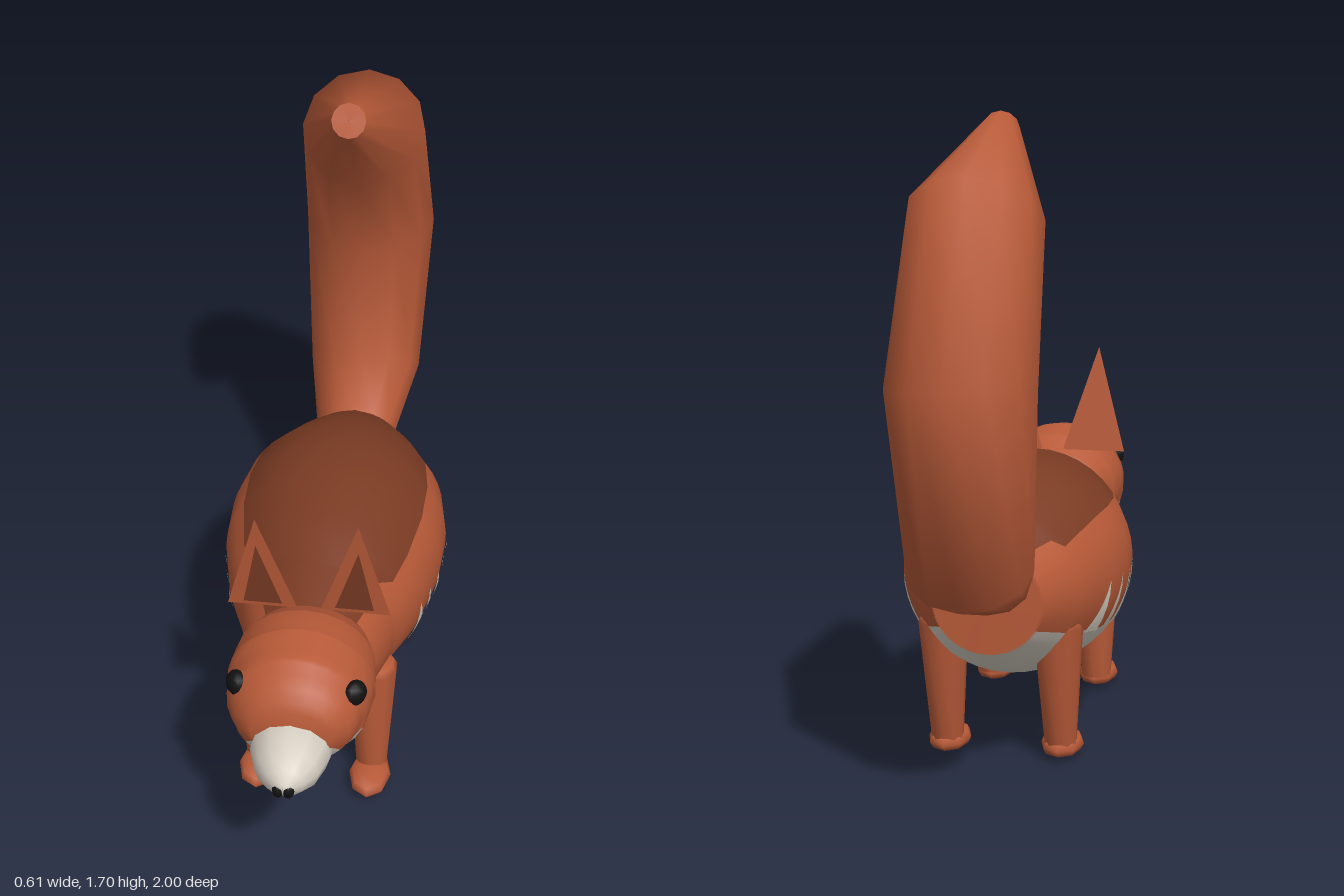
import * as THREE from 'three';
import { mergeVertices } from 'three/addons/utils/BufferGeometryUtils.js';

const mat = (name, color, side = THREE.FrontSide) => {
  const m = new THREE.MeshStandardMaterial({ color, side });
  m.name = name;
  return m;
};

// Piecewise linear lookup in rows [key, ...values] with falling or rising keys
function lookup(rows, s) {
  const up = rows[rows.length - 1][0] > rows[0][0] ? 1 : -1;
  let i = 0;
  while (i < rows.length - 2 && (s - rows[i + 1][0]) * up > 0) i++;
  const a = rows[i], b = rows[i + 1];
  const f = THREE.MathUtils.clamp((s - a[0]) / (b[0] - a[0]), 0, 1);
  return a.slice(1).map((v, k) => v + (b[k + 1] - v) * f);
}

// Strip of a lofted skin. Sections: [key, zTop, yTop, zBottom, yBottom, halfWidth].
// Angles are degrees from the top towards +x.
function skin(sections, keys, from, to, n) {
  const pos = [], idx = [];
  keys.forEach((s, i) => {
    const [zt, yt, zb, yb, hx] = lookup(sections, s);
    for (let j = 0; j <= n; j++) {
      const t = THREE.MathUtils.degToRad(from(s) + (to(s) - from(s)) * j / n);
      const c = Math.cos(t);
      pos.push(hx * Math.sin(t), (yt + yb) / 2 + (yt - yb) / 2 * c, (zt + zb) / 2 + (zt - zb) / 2 * c);
      if (i && j) {
        const d = i * (n + 1) + j, b = d - n - 1;
        idx.push(b - 1, b, d - 1, b, d, d - 1);
      }
    }
  });
  let g = new THREE.BufferGeometry();
  g.setAttribute('position', new THREE.Float32BufferAttribute(pos, 3));
  g.setIndex(idx);
  g = mergeVertices(g, 1e-4);
  g.computeVertexNormals();
  return g;
}

// Upright sections from rows [z, top, bottom, halfWidth], optionally grown outwards
const upright = (rows, grow = 0) =>
  rows.map(([z, top, bottom, hx]) => [z, z, top + grow, z, bottom - grow, hx + grow]);
const keysOf = (...tables) => [...new Set(tables.flat().map(r => r[0]))].sort((a, b) => b - a);
const flat = a => () => a;

export function createModel() {
  const model = new THREE.Group();
  const orange = mat('russet fur', 0xb85a38);
  const orangeThin = mat('russet ear fur', 0xb85a38, THREE.DoubleSide);
  const brown = mat('dark brown fur', 0x7a3b23);
  const cream = mat('pale fur', 0xd8d0c4);
  const black = mat('black', 0x111111);
  const add = (name, geometry, material, parent = model) => {
    const m = new THREE.Mesh(geometry, material);
    m.name = name;
    parent.add(m);
    return m;
  };

  // Body with dark back, russet flanks and pale belly
  const rows = [
    [0.49, 0.645, 0.315, 0.172], [0.44, 0.66, 0.285, 0.185], [0.35, 0.685, 0.25, 0.205],
    [0.2, 0.735, 0.21, 0.265], [0.05, 0.757, 0.195, 0.298], [-0.08, 0.764, 0.19, 0.303],
    [-0.2, 0.752, 0.205, 0.283], [-0.35, 0.68, 0.26, 0.217], [-0.49, 0.6, 0.34, 0.14]];
  const body = upright(rows);
  const backEdge = [[0.49, 42], [0.36, 50], [0.345, 42], [0.29, 57], [0, 55], [-0.35, 54], [-0.37, 44], [-0.49, 28]];
  const bodyKeys = keysOf(body, backEdge);
  const back = s => lookup(backEdge, s)[0];
  add('back', skin(body, bodyKeys, s => -back(s), back, 12), brown);
  add('leftFlank', skin(body, bodyKeys, back, flat(120), 8), orange);
  add('rightFlank', skin(body, bodyKeys, flat(-120), s => -back(s), 8), orange);
  add('belly', skin(body, bodyKeys, flat(120), flat(240), 14), cream);

  // Saw-toothed edge of the belly, laid thinly over the flanks
  const overlay = upright(rows, 0.004);
  for (const z of [0.215, 0.145, 0.075, 0.005, -0.065, -0.135, -0.22]) {
    const edge = s => 90 + 30 * (z - s) / 0.06;
    const keys = [0, 1, 2, 3, 4, 5].map(k => z - 0.012 * k);
    add('leftBellyTooth', skin(overlay, keys, edge, flat(121), 4), cream);
    add('rightBellyTooth', skin(overlay, keys, flat(-121), s => -edge(s), 4), cream);
  }

  // Closed ends of the body
  const chest = upright([[0.491, 0.481, 0.479, 0.001], [0.489, 0.646, 0.314, 0.173]]);
  add('chest', skin(chest, [0.491, 0.489], flat(-148), flat(148), 30), orange);
  add('lowerChest', skin(chest, [0.491, 0.489], flat(148), flat(212), 8), cream);
  const rump = upright([[-0.488, 0.603, 0.337, 0.143], [-0.491, 0.471, 0.469, 0.001]]);
  add('rump', skin(rump, [-0.488, -0.491], flat(0), flat(360), 36), orange);

  // Head with toothed pale chin
  const head = upright([
    [0.865, 0.546, 0.544, 0.001], [0.855, 0.615, 0.475, 0.1], [0.82, 0.665, 0.425, 0.145],
    [0.75, 0.705, 0.385, 0.178], [0.66, 0.72, 0.368, 0.19], [0.57, 0.708, 0.382, 0.18],
    [0.49, 0.66, 0.43, 0.15], [0.45, 0.546, 0.544, 0.001]]);
  const chinEdge = [[0.865, 120], [0.84, 120], [0.79, 130], [0.76, 106], [0.725, 118], [0.69, 130],
    [0.655, 107], [0.61, 117], [0.56, 127], [0.53, 106], [0.5, 120], [0.45, 120]];
  const headKeys = keysOf(head, chinEdge);
  const chin = s => lookup(chinEdge, s)[0];
  add('head', skin(head, headKeys, s => -chin(s), chin, 16), orange);
  add('chin', skin(head, headKeys, chin, s => 360 - chin(s), 10), cream);

  // Muzzle
  const muzzle = upright([
    [0.993, 0.491, 0.489, 0.001], [0.992, 0.505, 0.475, 0.016], [0.97, 0.535, 0.448, 0.05],
    [0.93, 0.562, 0.42, 0.08], [0.86, 0.58, 0.402, 0.102], [0.79, 0.57, 0.405, 0.1], [0.72, 0.5, 0.48, 0.04]]);
  add('muzzle', skin(muzzle, keysOf(muzzle), flat(0), flat(360), 12), cream);

  // Tail: rings leaning along an S-curve, closed at the tip
  const tail = [
    [0, -0.46, 0.62, -0.47, 0.435, 0.11], [1, -0.59, 0.71, -0.84, 0.54, 0.16],
    [2, -0.63, 1.05, -1.0, 1.09, 0.185], [3, -0.5, 1.34, -0.75, 1.57, 0.17],
    [4, -0.26, 1.61, -0.3, 1.695, 0.046], [5, -0.279, 1.653, -0.281, 1.653, 0.001]];
  add('tail', skin(tail, [0, 1, 2, 3, 4], flat(0), flat(360), 12), orange);
  add('tailTip', skin(tail, [4, 5], flat(0), flat(360), 12), orange);

  // Triangular plate leaning slightly forward from the top of the head
  const earPlate = (name, pts, material, z) => {
    const ear = add(name, new THREE.ShapeGeometry(new THREE.Shape(pts.map(p => new THREE.Vector2(...p)))), material);
    ear.position.set(0, 0.67, z);
    ear.rotation.x = 0.117;
  };

  for (const side of [1, -1]) {
    const label = side > 0 ? 'left' : 'right';

    // Ears; the shape class turns mirrored outlines the right way round
    const flip = pts => pts.map(([x, y]) => [x * side, y]);
    earPlate(label + 'Ear', flip([[0.03, 0], [0.21, 0], [0.13, 0.302]]), orangeThin, 0.515);
    earPlate(label + 'InnerEar', flip([[0.068, 0.015], [0.168, 0.015], [0.13, 0.215]]), brown, 0.52);

    // Eyes
    const eye = add(label + 'Eye', new THREE.SphereGeometry(0.035, 10, 8), black);
    eye.position.set(0.147 * side, 0.613, 0.757);
    eye.scale.z = 0.8;
    eye.rotation.y = 0.85 * side;

    // Nose, one half on each side
    const nose = add(label + 'NoseHalf', new THREE.SphereGeometry(1, 8, 6), black);
    nose.scale.set(0.015, 0.021, 0.014);
    nose.position.set(0.013 * side, 0.479, 0.984);

    // Legs and paws
    for (const [name, zTop, zFoot, zPaw] of [['Front', 0.372, 0.382, 0.425], ['Hind', -0.31, -0.262, -0.232]]) {
      const leg = new THREE.Group();
      leg.name = label + name + 'Leg';
      leg.position.x = 0.152 * side;
      model.add(leg);
      const limb = [
        [0, zTop - 0.001, 0.392, zTop, 0.392, 0.001], [1, zTop - 0.056, 0.39, zTop + 0.056, 0.39, 0.056],
        [2, zTop - 0.066, 0.372, zTop + 0.066, 0.372, 0.066], [3, zFoot - 0.046, 0.035, zFoot + 0.046, 0.035, 0.042]];
      add('limb', skin(limb, [0, 1, 2, 3], flat(0), flat(360), 10), orange, leg);
      const paw = add('paw', new THREE.SphereGeometry(1, 8, 6), orange, leg);
      paw.scale.set(0.057, 0.031, 0.094);
      paw.position.set(0, 0.031, zPaw);
    }
  }
  return model;
}
